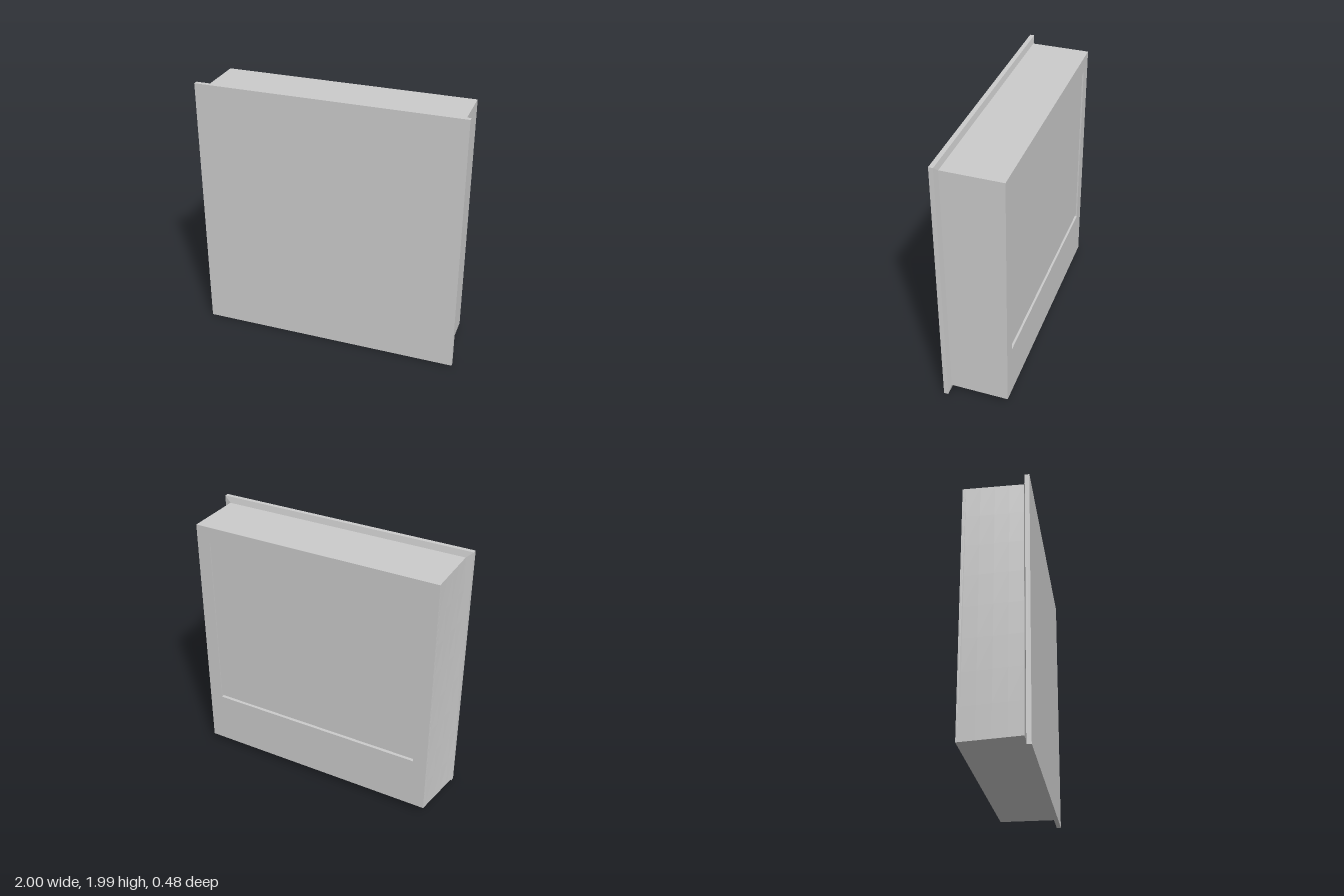
import * as THREE from 'three';

const X0 = -0.935, X1 = 0.945, Y0 = 0.05, Y1 = 1.94, BACK = -0.24, FRONT = 0.197;
const PX0 = -0.985, PX1 = 0.995, PTOP = 1.985;

const rect = (C, x0, x1, y0, y1) => new C([
  [x0, y0], [x1, y0], [x1, y1], [x0, y1]].map(([x, y]) => new THREE.Vector2(x, y)));

// The -x side flares outward towards its lower front corner
function flare(g) {
  const p = g.attributes.position;
  for (let i = 0; i < p.count; i++) {
    if (p.getX(i) > X0 + 1e-4) continue;
    const t = (p.getZ(i) - BACK) / (FRONT - BACK);
    const s = 1 - (p.getY(i) - Y0) / (Y1 - Y0);
    p.setX(i, X0 - 0.065 * t * s);
  }
  g.computeVertexNormals();
  return g;
}

export function createModel() {
  const group = new THREE.Group();
  const mat = new THREE.MeshStandardMaterial({ color: 0xcccccc, flatShading: true, side: THREE.DoubleSide });
  const add = (name, g) => {
    const m = new THREE.Mesh(g, mat);
    m.name = name;
    group.add(m);
  };

  // Front plate
  const plate = new THREE.BoxGeometry(PX1 - PX0, PTOP, 0.033);
  plate.translate((PX0 + PX1) / 2, PTOP / 2, 0.2235);
  add('frontPlate', plate);

  // Shallow slope on the back of the plate, running in to the body
  const slope = new THREE.BoxGeometry(1, 1, 1);
  const p = slope.attributes.position;
  for (let i = 0; i < p.count; i++) {
    const f = p.getZ(i) > 0;
    const x = p.getX(i) > 0 ? (f ? PX1 : X1) : (f ? PX0 : X0);
    const y = p.getY(i) > 0 ? (f ? PTOP : Y1) : (f ? 0 : Y0);
    p.setXYZ(i, x, y, f ? 0.207 : 0.197);
  }
  slope.computeVertexNormals();
  add('plateSlope', slope);

  // Main body
  const z0 = BACK + 0.025;
  const body = new THREE.BoxGeometry(X1 - X0, Y1 - Y0, FRONT - z0, 1, 8, 4);
  body.translate((X0 + X1) / 2, (Y0 + Y1) / 2, (FRONT + z0) / 2);
  add('body', flare(body));

  // Back layers: a recessed panel, with a deeper slot along its lower edge
  const layer = (name, z, depth, top) => {
    const s = rect(THREE.Shape, X0, X1, Y0, Y1);
    s.holes.push(rect(THREE.Path, -0.83, 0.84, 0.46, top));
    const g = new THREE.ExtrudeGeometry(s, { depth, bevelEnabled: false });
    g.translate(0, 0, z);
    add(name, flare(g));
  };
  layer('backFrame', BACK, 0.01, 1.82);
  layer('backPanel', BACK + 0.01, 0.015, 0.48);

  return group;
}
